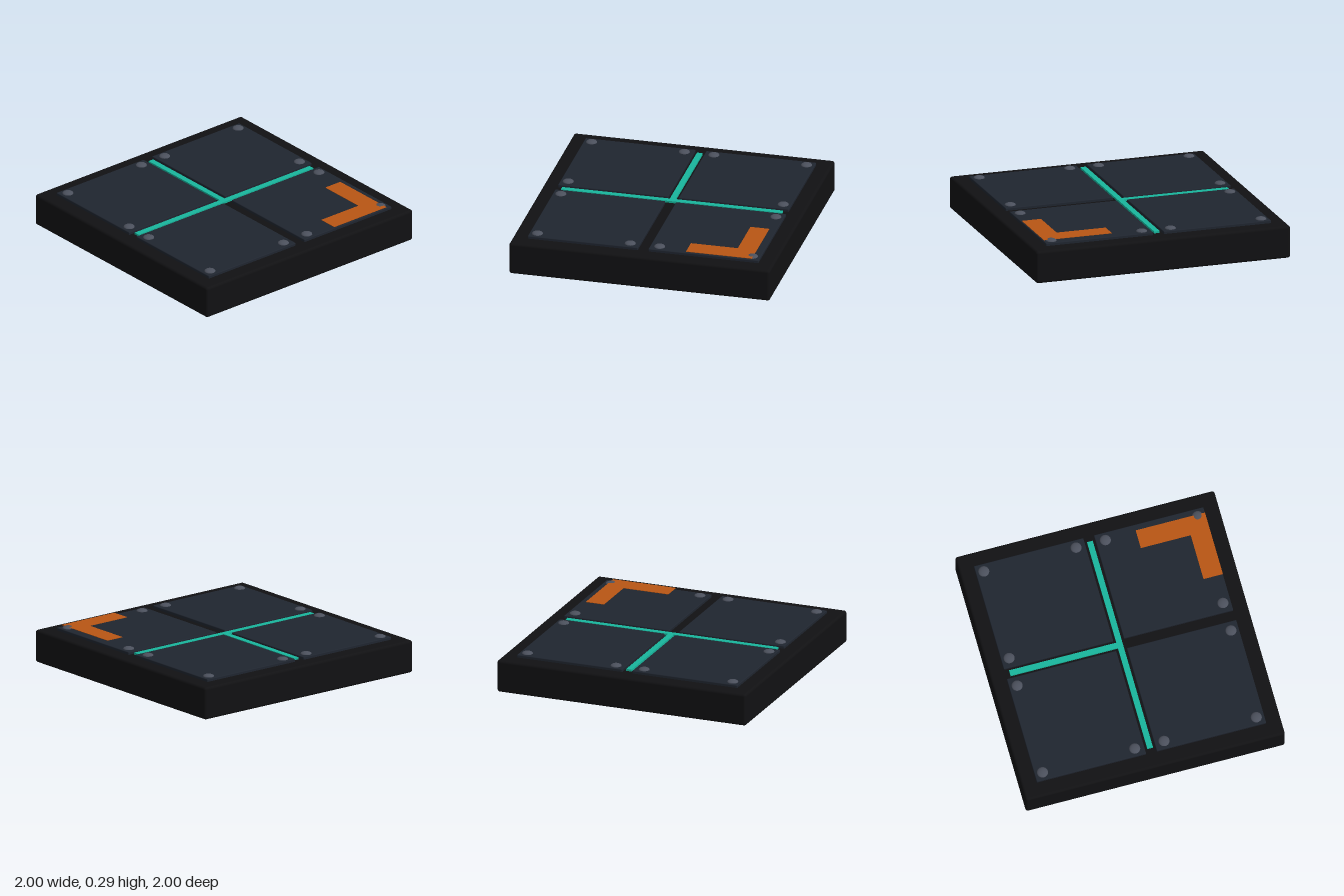
import * as THREE from 'three';
import { RoundedBoxGeometry } from 'three/addons/geometries/RoundedBoxGeometry.js';

export function createModel() {
  const model = new THREE.Group();
  model.name = 'floorTile';

  const mat = (color) => new THREE.MeshStandardMaterial({ color });
  const black = mat(0x111113);
  const slate = mat(0x1f252f);
  const steel = mat(0x4b505c);
  const teal = mat(0x18b59c);
  const orange = mat(0xb85614);

  const add = (name, geometry, material, x, y, z) => {
    const mesh = new THREE.Mesh(geometry, material);
    mesh.name = name;
    mesh.position.set(x, y, z);
    model.add(mesh);
    return mesh;
  };

  // Solid base slab with softened edges
  add('base', new RoundedBoxGeometry(2, 0.25, 2, 3, 0.02), black, 0, 0.125, 0);

  // Four raised plates, each with a bolt in every corner but the inner one
  const plateShape = new RoundedBoxGeometry(0.845, 0.04, 0.845, 2, 0.006);
  const boltShape = new THREE.SphereGeometry(0.042, 24, 8, 0, Math.PI * 2, 0, Math.PI / 2);
  boltShape.scale(1, 0.018 / 0.042, 1);
  for (const sx of [-1, 1]) {
    for (const sz of [-1, 1]) {
      add('plate', plateShape, slate, sx * 0.463, 0.251, sz * 0.463);
      for (const [x, z] of [[0.825, 0.825], [0.825, 0.113], [0.113, 0.825]]) {
        add('bolt', boltShape, steel, sx * x, 0.27, sz * z);
      }
    }
  }

  // Light strips set in the seams between the plates
  add('longLightStrip', new THREE.BoxGeometry(0.044, 0.02, 1.695), teal, 0, 0.255, 0);
  add('sideLightStrip', new THREE.BoxGeometry(0.828, 0.02, 0.044), teal, -0.436, 0.255, 0);

  // Thin L-shaped corner marking on the back left plate
  add('markingAcross', new THREE.BoxGeometry(0.535, 0.003, 0.145), orange, 0.6175, 0.2815, -0.7625);
  add('markingAlong', new THREE.BoxGeometry(0.15, 0.003, 0.36), orange, 0.81, 0.2815, -0.51);

  return model;
}
